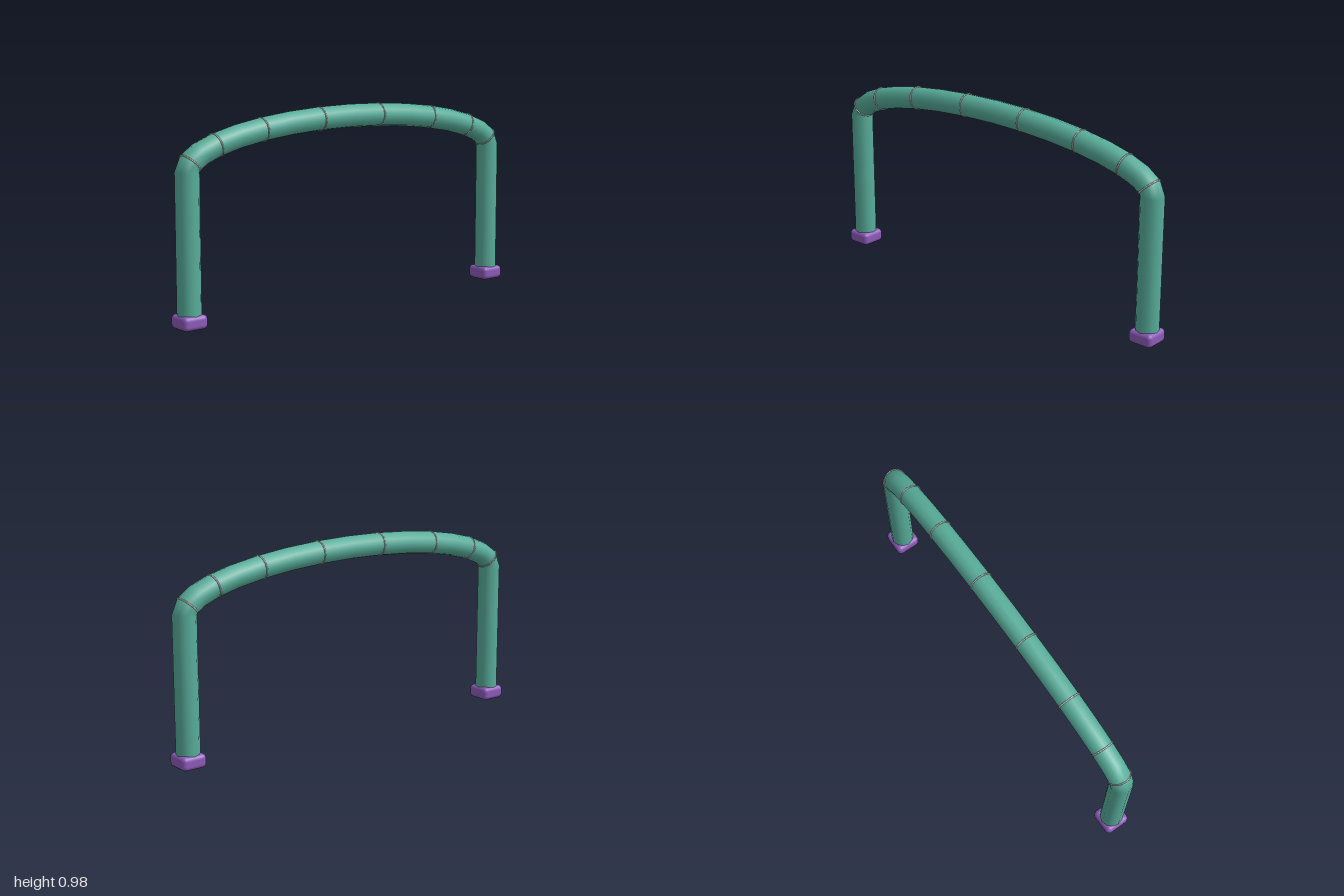
import * as THREE from 'three';
import { RoundedBoxGeometry } from 'three/addons/geometries/RoundedBoxGeometry.js';

const LEG_X = 0.935, SPRING_Y = 0.72, RISE = 0.2, FOOT_TOP = 0.068, RADIUS = 0.057;
const ARCH_STEPS = 16;

// Point on the shallow half-ellipse; angle 0 is the +x leg
const archPoint = (a) =>
  new THREE.Vector3(LEG_X * Math.cos(a), SPRING_Y + RISE * Math.sin(a), 0);

// Straight leg, arch, straight leg, sampled evenly by step
class FrameCurve extends THREE.Curve {
  getUtoTmapping(u) { return u; }
  getPoint(t, target = new THREE.Vector3()) {
    const s = t * (ARCH_STEPS + 2);
    const base = FOOT_TOP - 0.02;
    if (s < 1) return target.set(LEG_X, base + (SPRING_Y - base) * s, 0);
    if (s > ARCH_STEPS + 1) {
      return target.set(-LEG_X, base + (SPRING_Y - base) * (ARCH_STEPS + 2 - s), 0);
    }
    return target.copy(archPoint(((s - 1) / ARCH_STEPS) * Math.PI));
  }
}

export function createModel() {
  const model = new THREE.Group();
  model.name = 'archFrame';
  const green = new THREE.MeshStandardMaterial({ color: 0x58ad9a });
  green.name = 'seaGreen';
  const purple = new THREE.MeshStandardMaterial({ color: 0x8d5bb9 });
  purple.name = 'purple';
  const grey = new THREE.MeshStandardMaterial({ color: 0xcbc4c4 });
  grey.name = 'paleGrey';

  const add = (name, geometry, material) => {
    const mesh = new THREE.Mesh(geometry, material);
    mesh.name = name;
    model.add(mesh);
    return mesh;
  };

  // Bent tube
  add('tube', new THREE.TubeGeometry(new FrameCurve(), ARCH_STEPS + 2, RADIUS, 12, false), green);

  // Thin joint rings across the arch
  const ringGeometry = new THREE.TorusGeometry(RADIUS - 0.001, 0.004, 6, 24);
  for (let i = 0; i < 8; i++) {
    const a = ((i + 0.5) / 8) * Math.PI;
    const ring = add('jointRing', ringGeometry, grey);
    ring.position.copy(archPoint(a));
    const tangent = new THREE.Vector3(-LEG_X * Math.sin(a), RISE * Math.cos(a), 0).normalize();
    ring.quaternion.setFromUnitVectors(new THREE.Vector3(0, 0, 1), tangent);
  }

  // Rounded feet
  const footGeometry = new RoundedBoxGeometry(0.13, FOOT_TOP, 0.13, 3, 0.022);
  for (const side of [1, -1]) {
    const foot = add(side > 0 ? 'leftFoot' : 'rightFoot', footGeometry, purple);
    foot.position.set(side * LEG_X, FOOT_TOP / 2, 0);
  }
  return model;
}
